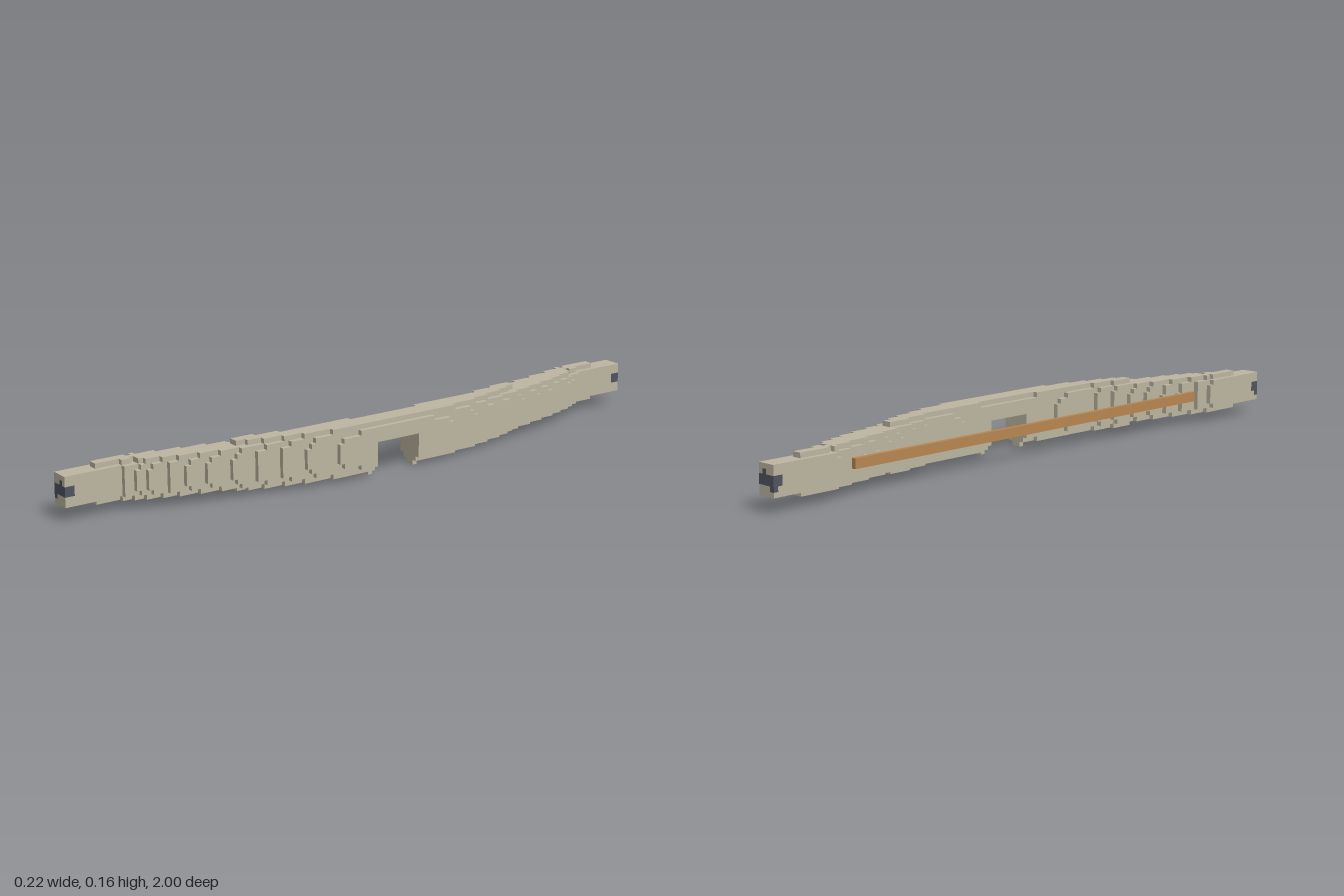
import * as THREE from 'three';

// Voxel grid: 15 x 11 x 136 cells, mirrored about z = 0
const S = 2 / 136, NX = 15, NY = 11, NZ = 136;

const stone = new THREE.MeshStandardMaterial({ color: 0xbcb5a1 });
stone.name = 'paleLimb';
const slate = new THREE.MeshStandardMaterial({ color: 0x50545f });
slate.name = 'slateTip';
const wood = new THREE.MeshStandardMaterial({ color: 0xb88650 });
wood.name = 'tanString';

// Piecewise linear lookup over [position, value] pairs
function lerpTable(table, t) {
  for (let i = 1; i < table.length; i++) {
    const [a, va] = table[i - 1], [b, vb] = table[i];
    if (t <= b) return va + (vb - va) * (t - a) / (b - a);
  }
  return table[table.length - 1][1];
}

// Outer edge, inner edge and half height of the bow along |z|
const OUTER = [[0, .113], [.2, .104], [.3, .089], [.38, .074], [.45, .06], [.52, .045], [.6, .03],
  [.66, .015], [.71, 0], [.76, -.015], [.8, -.034], [.84, -.05], [1, -.053]];
const INNER = [[0, .023], [.2, .014], [.35, 0], [.5, -.036], [.6, -.06], [.68, -.08], [.75, -.097],
  [.78, -.108], [1, -.108]];
const HEIGHT = [[0, .077], [.45, .068], [.8, .054], [1, .049]];
const MID_Y = 6 * S;

const fromCentre = k => (k < NZ / 2 ? NZ / 2 - 1 - k : k - NZ / 2);

// Rounded-box cross-section that follows the curve of the bow
function inBow(i, j, k) {
  const d = fromCentre(k), z = (d + .5) * S;
  if (d < 5 && j < 7) return false;                          // arrow window
  if (d === 5 && j === 0) return i === 11 || i === 12;       // tabs below the window
  if (d === 53 && j === 9) return i === 2;                   // nock bumps
  const x = (i + .5 - NX / 2) * S, y = (j + .5) * S - MID_Y;
  const outer = lerpTable(OUTER, z), inner = lerpTable(INNER, z);
  const u = Math.abs(x - (outer + inner) / 2) / ((outer - inner) / 2);
  const v = Math.abs(y) / lerpTable(HEIGHT, z);
  return u ** 3.5 + v ** 3.5 <= 1;
}

// Dark band around each end
function inTip(i, j, k) {
  const d = fromCentre(k);
  if (d < 66 || i > 3) return false;
  if (j === 5 || j === 6) return true;
  return d === 67 && ((i === 2 && j === 7) || (i === 0 && j === 4));
}

// Emit only exposed cell faces; side faces are merged into long strips along z
function voxelGeometry(filled) {
  const has = (i, j, k) =>
    i >= 0 && j >= 0 && k >= 0 && i < NX && j < NY && k < NZ && filled(i, j, k);
  const pos = [];
  const put = (a, b, c, d) => {
    for (const p of [a, b, c, a, c, d]) pos.push((p[0] - NX / 2) * S, p[1] * S, (p[2] - NZ / 2) * S);
  };
  for (let i = 0; i < NX; i++) for (let j = 0; j < NY; j++) {
    for (const [dx, dy] of [[1, 0], [-1, 0], [0, 1], [0, -1]]) {
      // Two edge corners, ordered so that the strip faces outwards
      const cx = i + .5 + dx / 2, cy = j + .5 + dy / 2;
      const p = [cx + dy / 2, cy - dx / 2], q = [cx - dy / 2, cy + dx / 2];
      let start = -1;
      for (let k = 0; k <= NZ; k++) {
        const open = has(i, j, k) && !has(i + dx, j + dy, k);
        if (open && start < 0) start = k;
        if (!open && start >= 0) {
          put([...p, k], [...p, start], [...q, start], [...q, k]);
          start = -1;
        }
      }
    }
    for (let k = 0; k < NZ; k++) {
      if (!has(i, j, k)) continue;
      const n = k + 1;
      if (!has(i, j, n)) put([i, j, n], [i + 1, j, n], [i + 1, j + 1, n], [i, j + 1, n]);
      if (!has(i, j, k - 1)) put([i + 1, j, k], [i, j, k], [i, j + 1, k], [i + 1, j + 1, k]);
    }
  }
  const geo = new THREE.BufferGeometry();
  geo.setAttribute('position', new THREE.Float32BufferAttribute(pos, 3));
  geo.computeVertexNormals();
  return geo;
}

export function createModel() {
  const group = new THREE.Group();
  group.name = 'bow';
  const add = (name, geo, mat) => {
    const mesh = new THREE.Mesh(geo, mat);
    mesh.name = name;
    group.add(mesh);
    return mesh;
  };

  // Curved limbs and grip
  add('limbs', voxelGeometry((i, j, k) => inBow(i, j, k) && !inTip(i, j, k)), stone);

  // Dark caps on both ends
  add('limbTips', voxelGeometry(inTip), slate);

  // Straight bowstring behind the grip
  add('bowstring', new THREE.BoxGeometry(S, 2 * S, 96 * S), wood).position.set(-6 * S, 6 * S, 0);

  return group;
}
